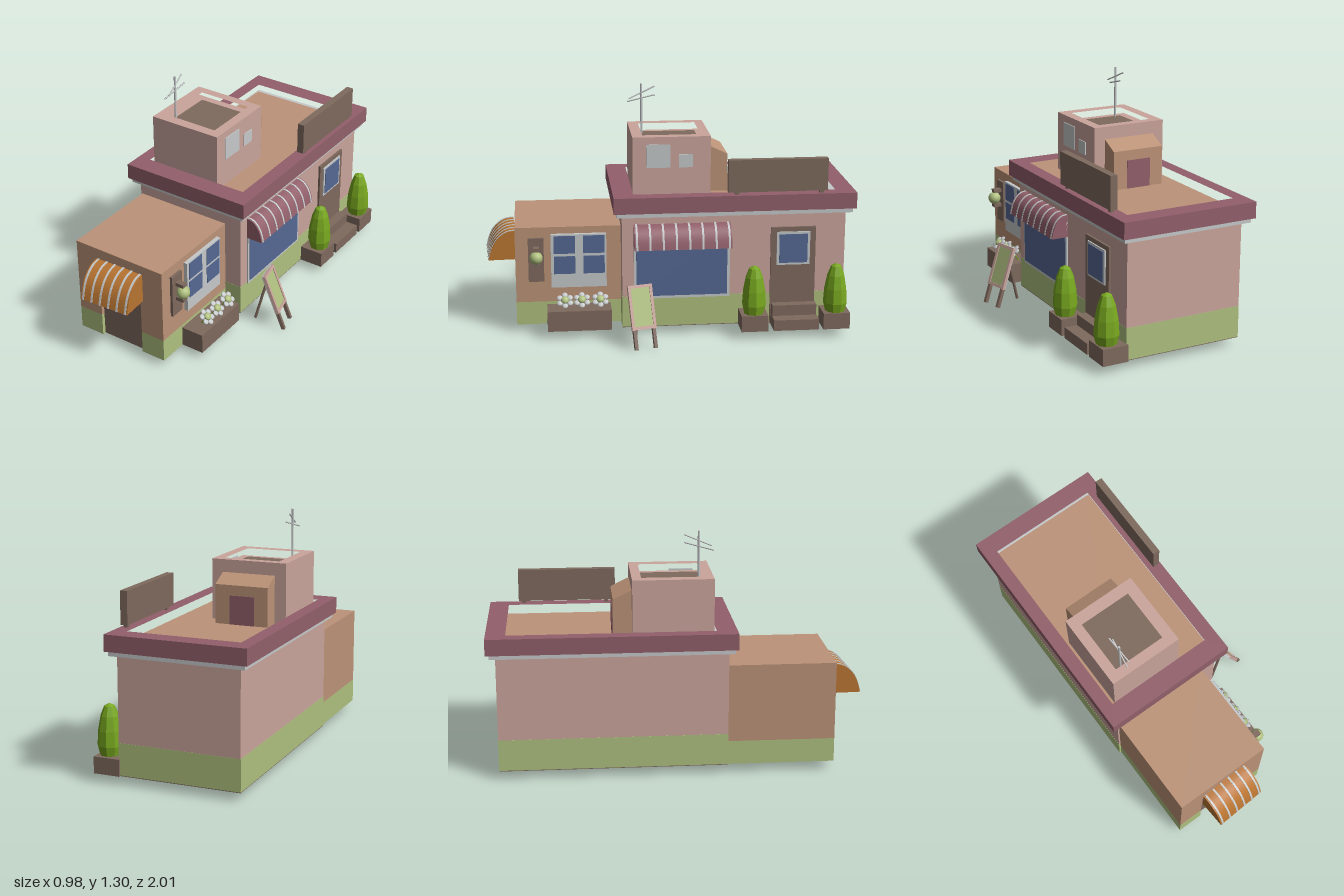
import * as THREE from 'three';
import { toCreasedNormals } from 'three/addons/utils/BufferGeometryUtils.js';

const mat = (name, color, extra = {}) => {
  const m = new THREE.MeshStandardMaterial({ color, ...extra });
  m.name = name;
  return m;
};

export function createModel() {
  const M = {
    pink: mat('pink plaster', 0xcaa59c),
    tan: mat('tan plaster', 0xbc9378),
    maroon: mat('maroon', 0x92606b),
    green: mat('pale green', 0xafc07f),
    brown: mat('brown wood', 0x7f6a5e),
    white: mat('off white', 0xc6c9ca),
    blue: mat('window blue', 0x556893),
    orange: mat('awning orange', 0xb87431),
    bush: mat('bush green', 0x78a81f, { flatShading: true }),
  };
  const root = new THREE.Group();
  root.name = 'cornerShop';

  const add = (name, geo, m, parent = root) => {
    const mesh = new THREE.Mesh(geo, m);
    mesh.name = name;
    parent.add(mesh);
    return mesh;
  };
  const group = (name, x = 0, y = 0, z = 0, ry = 0) => {
    const g = new THREE.Group();
    g.name = name;
    g.position.set(x, y, z);
    g.rotation.y = ry;
    root.add(g);
    return g;
  };
  // Box given by its extents
  const box = (name, m, x0, x1, y0, y1, z0, z1, parent = root) => {
    const mesh = add(name, new THREE.BoxGeometry(x1 - x0, y1 - y0, z1 - z0), m, parent);
    mesh.position.set((x0 + x1) / 2, (y0 + y1) / 2, (z0 + z1) / 2);
    return mesh;
  };
  // Round bar between two points
  const bar = (name, m, a, b, r, parent = root, sides = 6) => {
    const A = new THREE.Vector3(...a), B = new THREE.Vector3(...b);
    const dir = B.clone().sub(A);
    const mesh = add(name, new THREE.CylinderGeometry(r, r, dir.length(), sides), m, parent);
    mesh.position.copy(A).add(B).multiplyScalar(0.5);
    mesh.quaternion.setFromUnitVectors(new THREE.Vector3(0, 1, 0), dir.normalize());
    return mesh;
  };
  // Rectangular ring: outer and inner are [x0, x1, z0, z1]
  const ring = (name, m, o, i, y0, y1) => {
    const rect = (T, [x0, x1, z0, z1]) => {
      const p = new T();
      p.moveTo(x0, -z0).lineTo(x1, -z0).lineTo(x1, -z1).lineTo(x0, -z1).closePath();
      return p;
    };
    const s = rect(THREE.Shape, o);
    s.holes.push(rect(THREE.Path, i));
    const geo = new THREE.ExtrudeGeometry(s, { depth: y1 - y0, bevelEnabled: false });
    add(name, geo.rotateX(-Math.PI / 2), m).position.y = y0;
  };
  const extrude = (pts, depth) => new THREE.ExtrudeGeometry(
    new THREE.Shape(pts.map(p => new THREE.Vector2(...p))), { depth, bevelEnabled: false });

  // Main building
  box('mainFloor', M.brown, -0.42, 0.245, 0.05, 0.056, -0.95, 0.27);
  box('mainLowerWall', M.green, -0.421, 0.246, 0.054, 0.225, -0.951, 0.271);
  box('mainUpperWall', M.pink, -0.42, 0.245, 0.225, 0.69, -0.95, 0.27);
  box('cornice', M.white, -0.455, 0.277, 0.68, 0.706, -0.982, 0.3);
  ring('parapet', M.maroon, [-0.472, 0.292, -1, 0.315], [-0.4, 0.215, -0.895, 0.205], 0.705, 0.793);
  box('roofDeck', M.tan, -0.41, 0.225, 0.7, 0.74, -0.905, 0.215);

  // Front annex: two thick side walls, a lintel block and a recessed door
  for (const [side, x0, x1] of [['right', -0.41, -0.265], ['left', 0.003, 0.145]]) {
    box(side + 'AnnexLowerWall', M.green, x0, x1, 0.05, 0.18, 0.265, 0.845);
    box(side + 'AnnexUpperWall', M.tan, x0, x1, 0.18, 0.45, 0.265, 0.845);
  }
  box('annexTop', M.tan, -0.41, 0.145, 0.45, 0.604, 0.265, 0.845);
  box('annexDoor', M.brown, -0.265, 0.003, 0.05, 0.45, 0.8, 0.825);

  // Rooftop room with sunken top
  const R = [-0.378, 0.042, -0.235, 0.195];
  box('rooftopRoom', M.pink, R[0], R[1], 0.73, 1.015, R[2], R[3]);
  ring('rooftopRim', M.pink, R, [-0.32, -0.012, -0.185, 0.137], 1.015, 1.066);
  box('rooftopDeck', M.brown, -0.32, -0.012, 1.01, 1.02, -0.185, 0.137);
  box('rooftopLargeWindow', M.white, 0.042, 0.047, 0.895, 1.025, -0.012, 0.12);
  box('rooftopSmallWindow', M.white, 0.042, 0.047, 0.895, 0.968, -0.135, -0.06);

  // Sloped stair housing behind the rooftop room
  const housing = add('stairHousing', extrude([[-0.105, 0], [0, 0], [0, 0.265], [-0.105, 0.215]], 0.295), M.tan);
  housing.position.set(-0.02, 0.735, -0.23);
  housing.rotation.y = -Math.PI / 2;
  box('stairDoor', M.maroon, -0.24, -0.1, 0.74, 0.895, -0.338, -0.334);

  // Antenna
  const ant = group('antenna', -0.28, 0, 0.12);
  bar('mast', M.white, [0, 1.02, 0], [0, 1.303, 0], 0.006, ant);
  bar('lowerRod', M.white, [-0.01, 1.2, 0.08], [0.01, 1.24, -0.075], 0.004, ant);
  bar('upperRod', M.white, [0.01, 1.22, 0.07], [-0.01, 1.285, -0.075], 0.004, ant);

  // Blank sign on the roof edge
  box('roofSign', M.brown, 0.241, 0.28, 0.808, 0.985, -0.84, -0.3);
  for (const z of [-0.81, -0.35]) box('roofSignLeg', M.brown, 0.25, 0.27, 0.785, 0.81, z - 0.012, z + 0.012);

  // Curved awnings with thin stripes; the profile runs outwards and up from the wall
  const awning = (name, m, w, h, len, stripes, place) => {
    const g = group(name, ...place);
    const curve = new THREE.SplineCurve([[0, 1], [0.35, 0.95], [0.68, 0.72], [0.88, 0.4], [1, 0]]
      .map(([a, b]) => new THREE.Vector2(a * w, b * h)));
    const pts = curve.getPoints(10).map(p => [p.x, p.y]).reverse();
    add('canopy', toCreasedNormals(extrude([[0, 0], ...pts], len), 0.6), m, g);
    const big = pts.map(([a, b]) => [a * 1.02, b * 1.02]);
    for (let i = 0; i < stripes; i++) {
      const s = add('stripe', extrude([[0, 0.001], ...big], 0.011), M.white, g);
      s.position.z = 0.008 + i * (len - 0.027) / (stripes - 1);
    }
  };
  awning('frontAwning', M.orange, 0.155, 0.163, 0.29, 6, [0.02, 0.388, 0.838, -Math.PI / 2 + 0.06]);
  awning('sideAwning', M.maroon, 0.095, 0.12, 0.525, 8, [0.245, 0.515, -0.317, 0]);

  // Shop window
  box('shopWindowFrame', M.white, 0.24, 0.253, 0.215, 0.6, -0.317, 0.207);
  box('shopWindowGlass', M.blue, 0.25, 0.256, 0.23, 0.59, -0.302, 0.194);

  // Side door and steps
  box('sideDoor', M.brown, 0.24, 0.257, 0.05, 0.6, -0.787, -0.54);
  box('sideDoorWindowFrame', M.white, 0.25, 0.264, 0.388, 0.575, -0.755, -0.572);
  box('sideDoorGlass', M.blue, 0.26, 0.267, 0.4, 0.562, -0.741, -0.586);
  box('lowerStep', M.brown, 0.24, 0.382, 0.05, 0.11, -0.792, -0.545);
  box('upperStep', M.brown, 0.24, 0.31, 0.11, 0.17, -0.79, -0.547);

  // Planters with trimmed bushes
  const bushGeo = new THREE.LatheGeometry([[0, 0.13], [0.053, 0.135], [0.066, 0.19], [0.061, 0.27],
    [0.047, 0.345], [0.028, 0.395], [0, 0.41]].map(p => new THREE.Vector2(...p)), 9);
  for (const z of [-0.44, -0.89]) {
    box('planter', M.brown, 0.24, 0.384, 0.05, 0.14, z - 0.073, z + 0.073);
    const b = add('bush', bushGeo, M.bush);
    b.position.set(0.325, 0, z);
    b.rotation.y = z;
  }

  // Annex side window with four panes
  box('annexWindowFrame', M.white, 0.14, 0.166, 0.265, 0.566, 0.35, 0.652);
  for (const z of [0.418, 0.578]) for (const y of [0.393, 0.508])
    box('annexWindowPane', M.blue, 0.163, 0.169, y - 0.05, y + 0.05, z - 0.058, z + 0.058);

  // Wall lamp
  box('lampPlate', M.brown, 0.14, 0.16, 0.3, 0.546, 0.69, 0.775);
  for (const y of [0.403, 0.492]) box('lampArm', M.brown, 0.155, 0.208, y - 0.01, y + 0.01, 0.715, 0.748);
  add('lampGlobe', new THREE.SphereGeometry(0.036, 16, 12), M.green).position.set(0.198, 0.447, 0.732);

  // Flower box; flowers lean outwards
  box('flowerBox', M.brown, 0.14, 0.275, 0.05, 0.163, 0.33, 0.678);
  for (const z of [0.39, 0.49, 0.582]) {
    const f = group('flower', 0.24, 0.215, z);
    f.rotation.z = -0.75;
    bar('stem', M.bush, [0.012, -0.07, 0], [0, 0, 0], 0.004, f);
    for (let i = 0; i < 6; i++) {
      const a = i * Math.PI / 3;
      const p = add('petal', new THREE.SphereGeometry(0.017, 8, 6), M.white, f);
      p.scale.y = 0.5;
      p.position.set(Math.cos(a) * 0.032, 0, Math.sin(a) * 0.032);
    }
    const c = add('flowerCentre', new THREE.SphereGeometry(0.022, 10, 8), M.green, f);
    c.scale.y = 0.65;
    c.position.y = 0.006;
  }

  // Standing board on three legs
  const easel = group('standingBoard', 0.4, 0, 0.18, 0.24);
  const board = new THREE.Group();
  board.name = 'board';
  board.position.set(-0.035, 0.335, 0);
  board.rotation.z = 0.35;
  easel.add(board);
  box('boardBack', M.white, -0.012, 0.004, -0.235, 0, -0.064, 0.064, board);
  box('boardFace', M.green, 0.004, 0.007, -0.222, -0.012, -0.053, 0.053, board);
  for (const s of [-1, 1]) {
    box('boardSideRail', M.pink, -0.005, 0.012, -0.24, 0, s * 0.06 - 0.008, s * 0.06 + 0.008, board);
    box('boardLeg', M.brown, -0.01, 0.01, -0.345, -0.225, s * 0.054 - 0.009, s * 0.054 + 0.009, board);
  }
  for (const y of [-0.008, -0.23]) box('boardCrossRail', M.pink, -0.005, 0.012, y - 0.008, y + 0.008, -0.06, 0.06, board);
  bar('backLeg', M.brown, [-0.03, 0.29, 0], [-0.1, 0.006, 0], 0.008, easel);

  return root;
}
